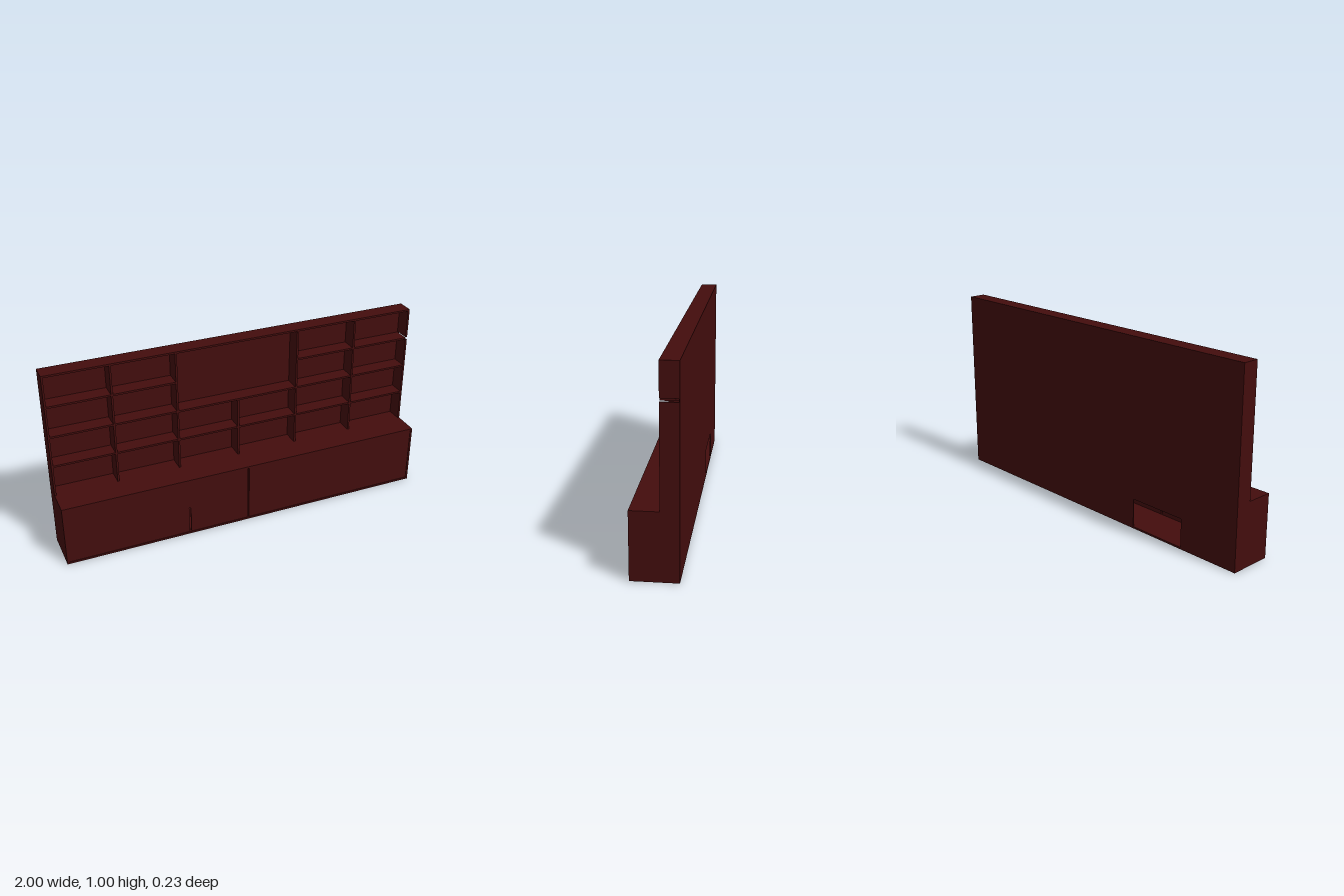
import * as THREE from 'three';

const wood = new THREE.MeshStandardMaterial({ color: 0x430d0d });
wood.name = 'dark red wood';

const T = 0.01;                          // board thickness
const BACK = -0.113, FRONT = 0.113;      // base depth
const UPPER = -0.025;                    // front of the upper shelving
const INNER = -0.108;                    // front of the back panel
const BASE = 0.333;                      // height of the base cabinet

export function createModel() {
  const model = new THREE.Group();
  model.name = 'wallBookcase';

  // Board given by its extents along x, y and z
  function board(name, x0, x1, y0, y1, z0, z1) {
    const mesh = new THREE.Mesh(new THREE.BoxGeometry(x1 - x0, y1 - y0, z1 - z0), wood);
    mesh.position.set((x0 + x1) / 2, (y0 + y1) / 2, (z0 + z1) / 2);
    mesh.name = name;
    model.add(mesh);
  }

  // Upright panel facing +z with one rectangular opening
  function cutPanel(name, outer, hole, z0, z1) {
    const corners = ([x0, x1, y0, y1]) =>
      [[x0, y0], [x1, y0], [x1, y1], [x0, y1]].map(([x, y]) => new THREE.Vector2(x, y));
    const shape = new THREE.Shape(corners(outer));
    shape.holes.push(new THREE.Path(corners(hole).reverse()));
    const geometry = new THREE.ExtrudeGeometry(shape, { depth: z1 - z0, bevelEnabled: false });
    const mesh = new THREE.Mesh(geometry, wood);
    mesh.position.z = z0;
    mesh.name = name;
    model.add(mesh);
  }

  // Back panel with the service opening into the base
  cutPanel('backPanel', [-1, 1, 0, 1 - T], [-0.662, -0.338, T, 0.16], BACK, INNER);

  // Base cabinet carcass
  board('baseBottom', -1, 1, 0, T, INNER, FRONT);
  board('baseTop', -1, 1, BASE - T, BASE, INNER, FRONT);
  for (const s of [-1, 1]) {
    const x = s * (1 - T / 2);
    board('baseSide', x - T / 2, x + T / 2, T, BASE - T, INNER, FRONT);
  }
  board('basePartition', -T / 2, T / 2, T, BASE - T, INNER, 0.1);

  // Inset fronts, the left-hand one with a narrow slot
  cutPanel('slottedFront', [-0.99, -0.004, T, BASE - T], [-0.338, -0.328, T + 0.001, 0.16], 0.1, 0.109);
  board('plainFront', 0.004, 0.99, T, BASE - T, 0.1, 0.109);

  // Upper frame; the +x side has a slot level with the top shelf
  board('topBoard', -1, 1, 1 - T, 1, BACK, UPPER);
  board('upperSide', -1, -1 + T, BASE, 1 - T, INNER, UPPER);
  board('upperSideLower', 1 - T, 1, BASE, 0.822, INNER, UPPER);
  board('upperSideUpper', 1 - T, 1, 0.838, 1 - T, INNER, UPPER);

  // Uprights: four full height and a short one in the middle
  for (const x of [-0.667, -0.333, 0, 0.333, 0.667]) {
    board('upright', x - T / 2, x + T / 2, BASE, x === 0 ? 0.66 : 1 - T, INNER, UPPER);
  }

  // Two full-width shelves and the short top shelves at each end
  for (const y of [0.5, 0.665]) {
    board('longShelf', -0.99, 0.99, y - T / 2, y + T / 2, INNER, UPPER - 0.001);
  }
  for (const s of [-1, 1]) {
    const x = s * 0.6615;
    board('topShelf', x - 0.3285, x + 0.3285, 0.825, 0.835, INNER, UPPER - 0.001);
  }
  return model;
}
